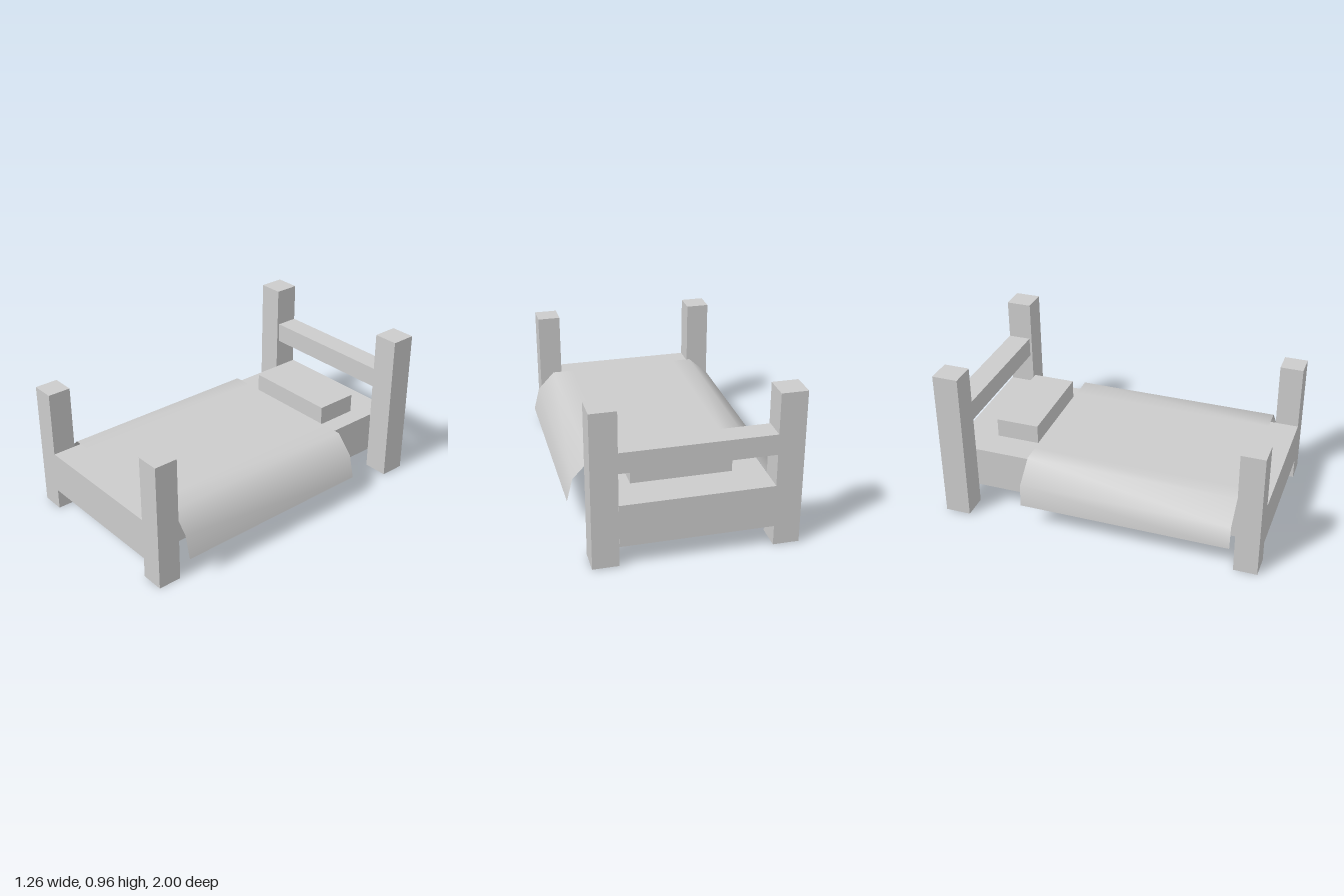
import * as THREE from 'three';

const material = new THREE.MeshStandardMaterial({ color: 0xcccccc });

// Box given by its [min, max] extents on each axis
function block(name, [x0, x1], [y0, y1], [z0, z1]) {
  const mesh = new THREE.Mesh(new THREE.BoxGeometry(x1 - x0, y1 - y0, z1 - z0), material);
  mesh.name = name;
  mesh.position.set((x0 + x1) / 2, (y0 + y1) / 2, (z0 + z1) / 2);
  return mesh;
}

// Thin draped sheet: an [x, y] profile swept along z, smoothly shaded
function drapedSheet(name, profile, z0, z1) {
  const positions = [], indices = [];
  profile.forEach(([x, y], i) => {
    positions.push(x, y, z0, x, y, z1);
    if (i > 0) {
      const a = 2 * (i - 1);
      indices.push(a, a + 1, a + 2, a + 1, a + 3, a + 2);
    }
  });
  const geometry = new THREE.BufferGeometry();
  geometry.setAttribute('position', new THREE.Float32BufferAttribute(positions, 3));
  geometry.setIndex(indices);
  geometry.computeVertexNormals();
  const sheet = material.clone();
  sheet.side = THREE.DoubleSide;
  const mesh = new THREE.Mesh(geometry, sheet);
  mesh.name = name;
  return mesh;
}

export function createModel() {
  const bed = new THREE.Group();
  bed.name = 'bed';

  // Solid base with the mattress top, reaching between the posts
  bed.add(block('bedFrame', [-0.478, 0.427], [0.13, 0.393], [-1, 1]));

  // Tall posts at the head, short posts at the foot
  bed.add(
    block('headPostRight', [-0.635, -0.478], [0.005, 0.963], [-0.998, -0.84]),
    block('headPostLeft', [0.427, 0.583], [0.005, 0.963], [-0.998, -0.84]),
    block('footPostRight', [-0.624, -0.478], [0, 0.8], [0.855, 1]),
    block('footPostLeft', [0.427, 0.571], [0, 0.8], [0.855, 1]),
  );

  // Headboard rail and pillow
  bed.add(
    block('headRail', [-0.478, 0.427], [0.59, 0.716], [-0.998, -0.855]),
    block('pillow', [-0.29, 0.312], [0.39, 0.513], [-0.773, -0.502]),
  );

  // Blanket hanging over both sides
  bed.add(drapedSheet('blanket', [
    [-0.635, 0.155], [-0.62, 0.295], [-0.49, 0.413], [-0.37, 0.413],
    [0.34, 0.413], [0.487, 0.413], [0.594, 0.3], [0.63, 0.155],
  ], -0.485, 0.827));

  return bed;
}
